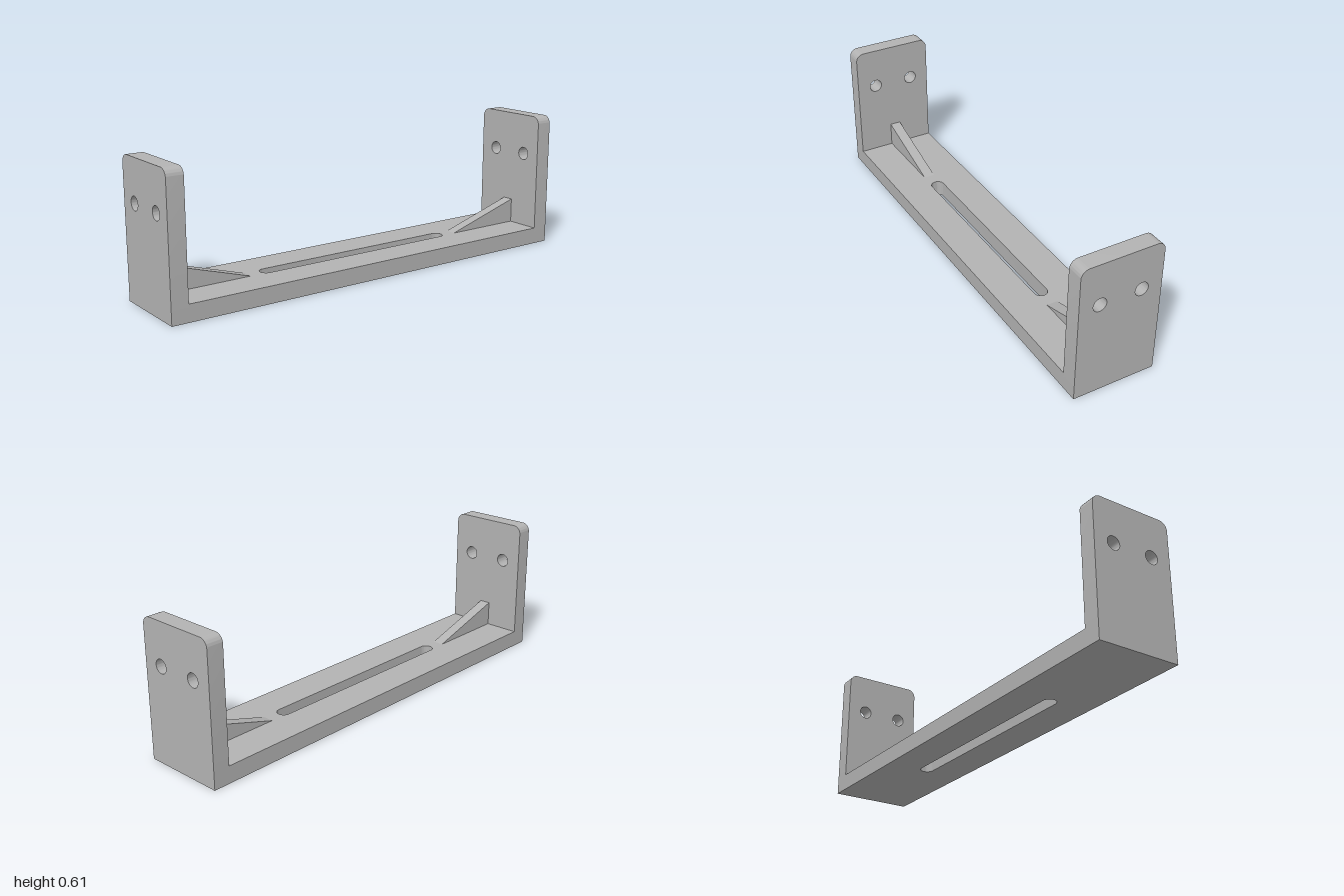
import * as THREE from 'three';
import { toCreasedNormals } from 'three/addons/utils/BufferGeometryUtils.js';

const T = 0.075;        // plate thickness
const HALF_D = 0.185;   // half depth
const HEIGHT = 0.61;
const INNER = 1 - T;    // inner face of each upright

function extrude(shape, depth) {
  const geo = new THREE.ExtrudeGeometry(shape, { depth, bevelEnabled: false, curveSegments: 16 });
  return toCreasedNormals(geo, Math.PI / 6);
}

// Floor plate with a long round-ended slot
function baseGeometry() {
  const s = new THREE.Shape();
  s.moveTo(-INNER, -HALF_D);
  s.lineTo(INNER, -HALF_D);
  s.lineTo(INNER, HALF_D);
  s.lineTo(-INNER, HALF_D);
  s.closePath();
  const r = 0.03, c = 0.495 - r;
  const slot = new THREE.Path();
  slot.absarc(c, 0, r, -Math.PI / 2, Math.PI / 2, false);
  slot.absarc(-c, 0, r, Math.PI / 2, Math.PI * 1.5, false);
  slot.closePath();
  s.holes.push(slot);
  return extrude(s, T).rotateX(-Math.PI / 2);
}

// Upright plate with rounded top corners and two screw holes
function uprightGeometry() {
  const r = 0.037;
  const s = new THREE.Shape();
  s.moveTo(-HALF_D, 0);
  s.lineTo(HALF_D, 0);
  s.absarc(HALF_D - r, HEIGHT - r, r, 0, Math.PI / 2, false);
  s.absarc(-HALF_D + r, HEIGHT - r, r, Math.PI / 2, Math.PI, false);
  s.closePath();
  for (const z of [-0.093, 0.093]) {
    const hole = new THREE.Path();
    hole.absarc(z, 0.424, 0.03, 0, Math.PI * 2, false);
    s.holes.push(hole);
  }
  return extrude(s, T).rotateY(Math.PI / 2).translate(INNER, 0, 0);
}

// Triangular stiffening rib between floor and upright
function ribGeometry() {
  const s = new THREE.Shape();
  s.moveTo(0.555, T);
  s.lineTo(INNER, T);
  s.lineTo(INNER, 0.187);
  s.closePath();
  const w = 0.05;
  return extrude(s, w).translate(0, 0, -w / 2);
}

export function createModel() {
  const group = new THREE.Group();
  group.name = 'bracket';
  const grey = new THREE.MeshStandardMaterial({ color: 0xb3b3b3 });
  grey.name = 'grey';

  const add = (name, geo, turn = 0) => {
    const mesh = new THREE.Mesh(geo, grey);
    mesh.name = name;
    mesh.rotation.y = turn;
    group.add(mesh);
  };

  add('basePlate', baseGeometry());
  const upright = uprightGeometry();
  const rib = ribGeometry();
  for (const [side, turn] of [['left', 0], ['right', Math.PI]]) {
    add(side + 'Upright', upright, turn);
    add(side + 'Rib', rib, turn);
  }
  return group;
}
